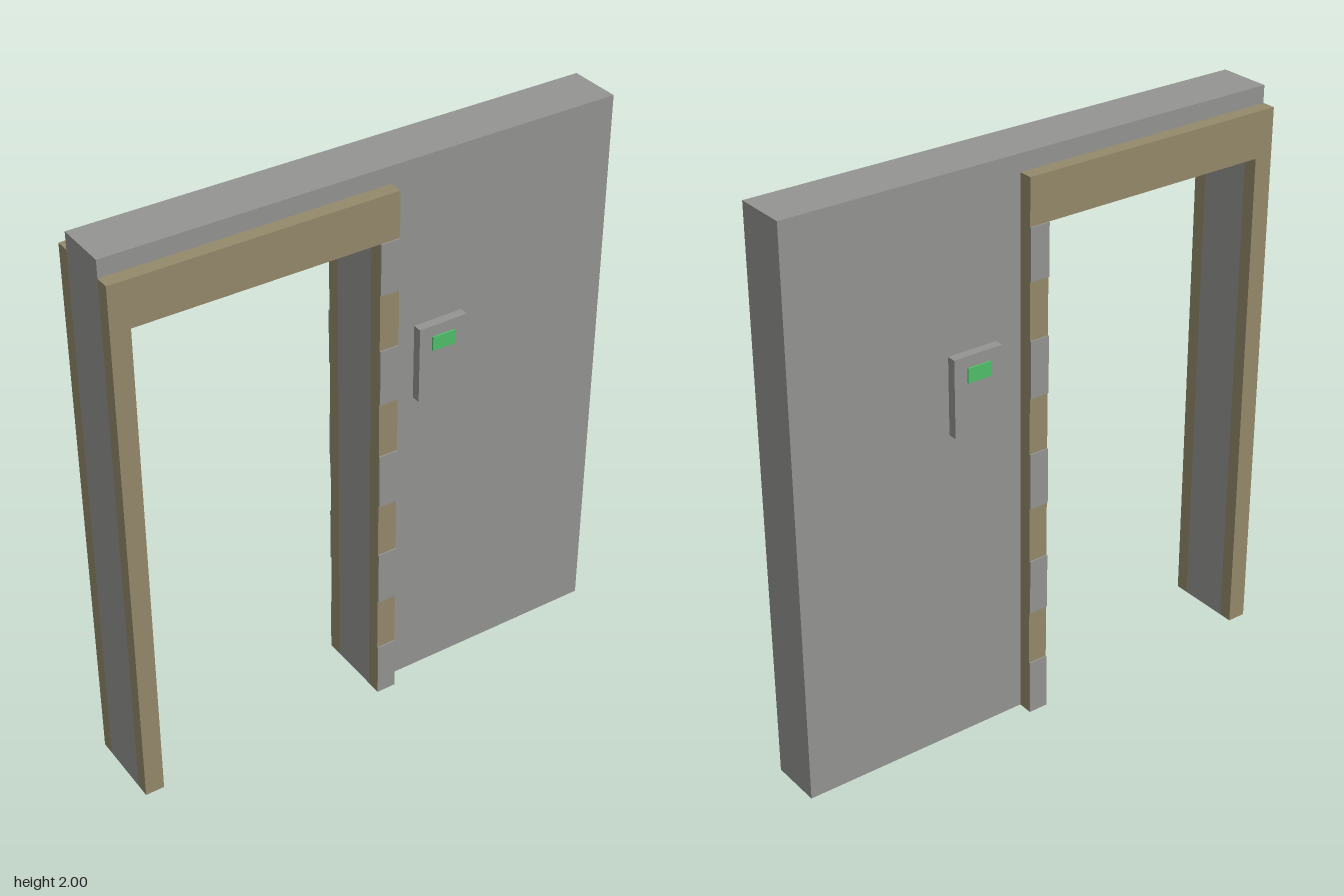
import * as THREE from 'three';

const material = (name, color) => {
  const m = new THREE.MeshStandardMaterial({ color });
  m.name = name;
  return m;
};

export function createModel() {
  const grey = material('wall grey', 0x949492);
  const beige = material('trim beige', 0x948a6b);
  const green = material('screen green', 0x4fc06a);
  const model = new THREE.Group();
  model.name = 'doorway';

  // Box given by its limits on each axis
  function box(name, mat, parent, [x0, x1], [y0, y1], [z0, z1]) {
    const mesh = new THREE.Mesh(new THREE.BoxGeometry(x1 - x0, y1 - y0, z1 - z0), mat);
    mesh.position.set((x0 + x1) / 2, (y0 + y1) / 2, (z0 + z1) / 2);
    mesh.name = name;
    parent.add(mesh);
  }

  // Extruded outline from a list of corners
  function slab(name, mat, parent, corners, z0, z1) {
    const shape = new THREE.Shape(corners.map(([x, y]) => new THREE.Vector2(x, y)));
    const geometry = new THREE.ExtrudeGeometry(shape, { depth: z1 - z0, bevelEnabled: false });
    geometry.translate(0, 0, z0);
    const mesh = new THREE.Mesh(geometry, mat);
    mesh.name = name;
    parent.add(mesh);
  }

  const L = -0.907, R = 0.907, openL = -0.84, openTop = 1.78, W = 0.093;

  // Wall with the door opening cut out
  slab('wall', grey, model, [
    [L, 0], [openL, 0], [openL, openTop], [0, openTop], [0, 0], [R, 0], [R, 2], [L, 2],
  ], -W, W);

  // Door frame, warning bands and control panel on both faces
  for (const side of [1, -1]) {
    const face = new THREE.Group();
    face.name = side > 0 ? 'frontFittings' : 'backFittings';
    model.add(face);
    const z = (a, b) => (side > 0 ? [a, b] : [-b, -a]);

    const [f0, f1] = z(W, 0.142);
    slab('doorFrame', beige, face, [
      [L, 0], [openL, 0], [openL, openTop], [0, openTop], [0, 0], [0.07, 0], [0.07, 1.94], [L, 1.94],
    ], f0, f1);

    for (let i = 0; i < 5; i++) {
      const y = i * 0.4;
      box('jambBand', grey, face, [0, 0.07], [y, Math.min(y + 0.2, openTop)], z(0.142, 0.147));
    }

    box('controlPanel', grey, face, [0.163, 0.343], [1.14, 1.41], z(W, 0.125));
    box('panelScreen', green, face, [0.21, 0.295], [1.32, 1.37], z(0.125, 0.131));
  }
  return model;
}
